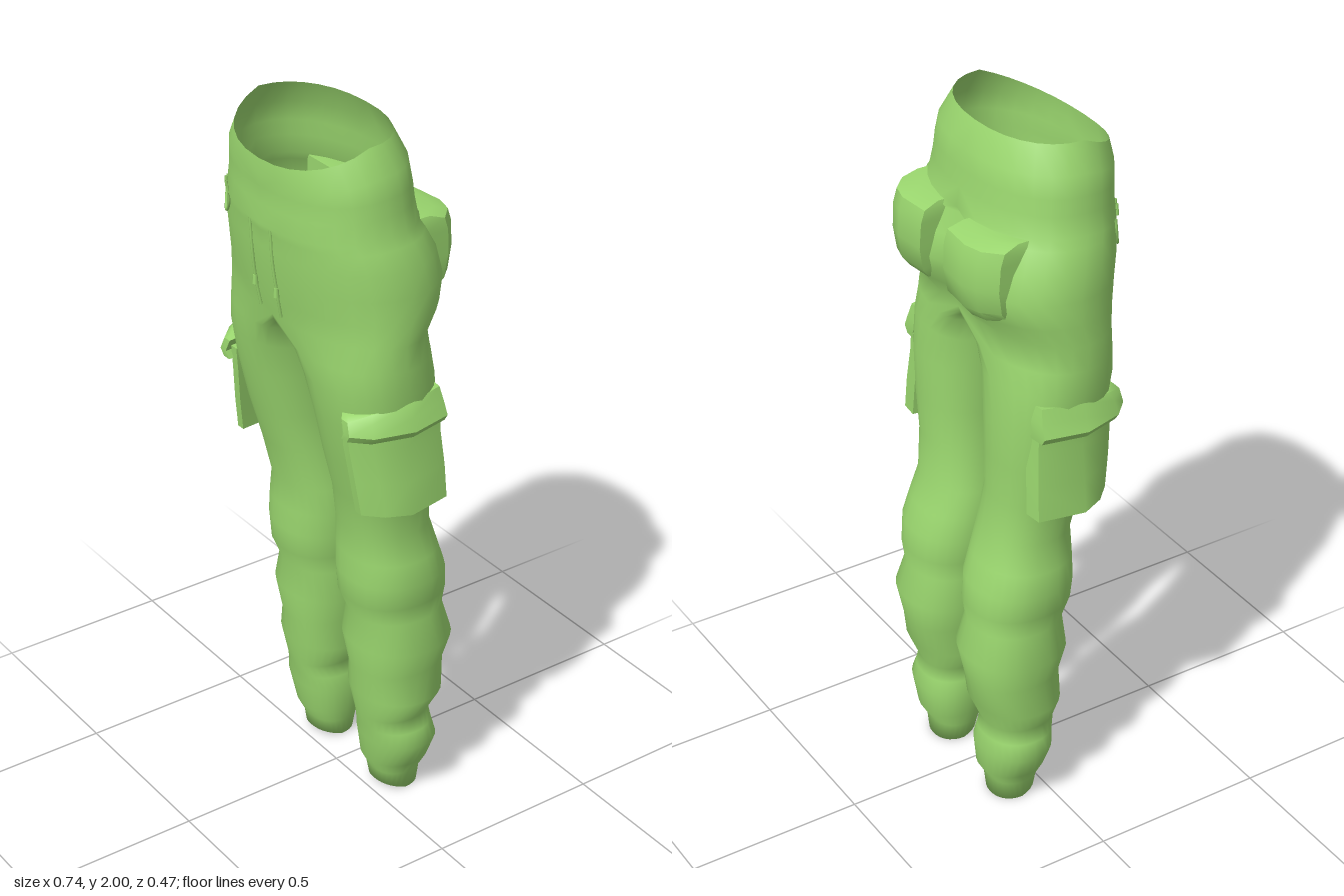
import * as THREE from 'three';
import { mergeVertices, toCreasedNormals } from 'three/addons/utils/BufferGeometryUtils.js';

const N = 28, H = N / 2;

// Cross-sections from ankle to waist: y, inner x, middle x, outer x, front z, back z, front tilt
const LEG = [
  [0.05, 0.1, 0.155, 0.21, -0.035, -0.14, 0],
  [0.0, 0.09, 0.155, 0.22, -0.02, -0.15, -0.02],
  [0.06, 0.075, 0.155, 0.23, -0.015, -0.155, 0],
  [0.1, 0.067, 0.155, 0.25, 0.005, -0.178, 0],
  [0.18, 0.055, 0.16, 0.288, 0.015, -0.185, 0],
  [0.225, 0.066, 0.16, 0.272, 0.022, -0.176, 0],
  [0.265, 0.073, 0.16, 0.262, 0.03, -0.17, 0],
  [0.34, 0.034, 0.16, 0.3, 0.04, -0.2, 0],
  [0.42, 0.05, 0.16, 0.277, 0.046, -0.215, 0],
  [0.51, 0.016, 0.16, 0.31, 0.058, -0.23, 0],
  [0.6, 0.034, 0.16, 0.283, 0.05, -0.205, 0],
  [0.66, 0.022, 0.16, 0.295, 0.075, -0.213, 0],
  [0.73, 0.015, 0.16, 0.305, 0.078, -0.205, 0],
  [0.8, 0.016, 0.16, 0.295, 0.076, -0.182, 0],
  [0.88, 0.02, 0.16, 0.275, 0.075, -0.158, 0],
  [1.0, 0.042, 0.165, 0.292, 0.1, -0.145, 0],
  [1.12, 0.036, 0.17, 0.315, 0.132, -0.148, 0],
  [1.25, 0.027, 0.17, 0.335, 0.16, -0.148, 0],
  [1.35, 0.012, 0.15, 0.345, 0.178, -0.142, 0],
  [1.42, 0.003, 0.1, 0.346, 0.188, -0.14, 0],
];
const HIPS = [
  [1.49, 0, 0, 0.345, 0.2, -0.143, 0],
  [1.55, 0, 0, 0.343, 0.212, -0.192, 0],
  [1.62, 0, 0, 0.34, 0.222, -0.208, 0],
  [1.69, 0, 0, 0.333, 0.23, -0.19, 0],
  [1.75, 0, 0, 0.315, 0.232, -0.16, 0.015],
  [1.775, 0, 0, 0.303, 0.238, -0.145, 0.02],
  [1.83, 0, 0, 0.291, 0.235, -0.136, 0.02],
  [1.875, 0, 0, 0.288, 0.234, -0.13, 0.02],
  [1.93, 0, 0, 0.277, 0.238, -0.122, 0.04],
  [2.0, 0, 0, 0.24, 0.235, -0.09, 0.07],
];
const E = 0.9;
const spow = v => Math.sign(v) * Math.pow(Math.abs(v), E);

function ringPoint([y, xi, cx, xo, zf, zb, tilt], j) {
  const t = (j / N) * Math.PI * 2;
  const s = j % H === 0 ? 0 : spow(Math.sin(t)), c = spow(Math.cos(t));
  const x = cx + s * (s > 0 ? xo - cx : cx - xi);
  let z = (zf + zb) / 2 + (c * (zf - zb)) / 2;
  let h = y - tilt * Math.max(0, c);
  if (y === 1.49 && s < 0) h += 0.055 * s;                                   // crotch arch
  if (c < 0 && y > 1.5 && y < 1.76) z += 0.035 * Math.exp(-((x / 0.05) ** 2)); // seat cleft
  return [x, h, z];
}

// Depth of the front of the hips at a given place
function frontZ(x, y) {
  let i = 0;
  while (i < HIPS.length - 2 && HIPS[i + 1][0] < y) i++;
  const a = HIPS[i], b = HIPS[i + 1];
  const k = THREE.MathUtils.clamp((y - a[0]) / (b[0] - a[0]), 0, 1);
  const [xo, zf, zb] = [3, 4, 5].map(n => THREE.MathUtils.lerp(a[n], b[n], k));
  const s = Math.pow(Math.min(1, Math.abs(x) / xo), 1 / E);
  return (zf + zb) / 2 + (Math.pow(Math.sqrt(1 - s * s), E) * (zf - zb)) / 2;
}

function geometryFrom(pos, idx) {
  const g = new THREE.BufferGeometry();
  g.setAttribute('position', new THREE.Float32BufferAttribute(pos, 3));
  g.setIndex(idx);
  return g;
}

// Both legs and the hips as one smooth skin
function trouserGeometry() {
  const rows = [...LEG, ...HIPS], pos = [], idx = [];
  for (const side of [1, -1]) {
    const base = pos.length / 3;
    for (const r of rows)
      for (let j = 0; j < N; j++) {
        const [x, y, z] = ringPoint(r, j);
        pos.push(x * side, y, z);
      }
    for (let i = 0; i < rows.length - 1; i++)
      for (let j = 0; j < (i < LEG.length ? N : H); j++) {
        const k = (j + 1) % N;
        const a = base + i * N + j, b = base + i * N + k, c = b + N, d = a + N;
        if (i >= LEG.length && j >= H) continue;
        if (side > 0) idx.push(a, b, c, a, c, d);
        else idx.push(a, c, b, a, d, c);
      }
  }
  const g = mergeVertices(geometryFrom(pos, idx), 1e-4);
  g.computeVertexNormals();
  return g;
}

// Solid through equal rings of [x, z] given from bottom to top, mirrored for side -1
function pocketGeometry(rings, side) {
  const n = rings[0].points.length, pos = [], idx = [];
  const tri = (a, b, c) => (side > 0 ? idx.push(a, b, c) : idx.push(a, c, b));
  rings.forEach(r => r.points.forEach(([x, z], j) => pos.push(x * side, Array.isArray(r.y) ? r.y[j] : r.y, z)));
  for (let i = 0; i < rings.length - 1; i++)
    for (let j = 0; j < n; j++) {
      const a = i * n + j, b = i * n + ((j + 1) % n);
      tri(a, b, b + n);
      tri(a, b + n, a + n);
    }
  const top = (rings.length - 1) * n;
  for (let j = 1; j < n - 1; j++) {
    tri(0, j + 1, j);
    tri(top, top + j, top + j + 1);
  }
  return toCreasedNormals(geometryFrom(pos, idx), 0.7);
}

// Cargo pocket outline wrapped round the outside of the thigh
const wrap = (y, out, zf, zb) => ({
  y,
  points: [[out - 0.1, zf], [out - 0.075, zf], [out - 0.03, zf - 0.045], [out, 0.015],
    [out - 0.025, zb + 0.005], [out - 0.075, zb]],
});
// Seat pocket outline
const seat = (y, d, w) => ({
  y,
  points: [[0.15 + w, -0.08], [0.15 + w, d + 0.055], [0.16 + w * 0.45, d + 0.014], [0.15, d],
    [0.15 - w, d + 0.008], [0.15 - w, -0.08]],
});

export function createModel() {
  const group = new THREE.Group();
  const cloth = new THREE.MeshStandardMaterial({ color: 0x9ad66e, side: THREE.DoubleSide });
  cloth.name = 'green cloth';
  const add = (name, geometry) => {
    const m = new THREE.Mesh(geometry, cloth);
    m.name = name;
    group.add(m);
    return m;
  };
  const cord = (name, pts, r) => add(name, new THREE.TubeGeometry(
    new THREE.CatmullRomCurve3(pts.map(([x, y]) => new THREE.Vector3(x, y, frontZ(x, y) + 0.002))), 20, r, 6));

  add('trousers', trouserGeometry());

  for (const side of [1, -1]) {
    const label = side > 0 ? 'left' : 'right';
    // Cargo pocket and its flap
    add(label + 'CargoPocket', pocketGeometry([
      wrap(1.005, 0.362, 0.125, -0.118), wrap(1.1, 0.354, 0.138, -0.115),
      wrap(1.2, 0.342, 0.15, -0.108), wrap(1.27, 0.342, 0.155, -0.105)], side));
    add(label + 'CargoFlap', pocketGeometry([
      wrap(1.235, 0.358, 0.168, -0.108), wrap(1.255, 0.371, 0.17, -0.108),
      wrap(1.29, 0.357, 0.166, -0.106),
      wrap([1.3, 1.3, 1.31, 1.325, 1.33, 1.33], 0.344, 0.155, -0.1)], side));
    // Seat pocket
    add(label + 'SeatPocket', pocketGeometry([
      seat(1.555, -0.195, 0.08), seat(1.585, -0.218, 0.09), seat(1.65, -0.228, 0.093),
      seat(1.72, -0.224, 0.095), seat(1.755, -0.213, 0.095), seat(1.77, -0.17, 0.09)], side));
    // Drawstring with its end bead
    const x = side * 0.045;
    cord(label + 'Drawstring', [[x, 1.75], [x, 1.66], [x * 1.05, 1.57], [x, 1.5]], 0.004);
    const bead = add(label + 'DrawstringBead', new THREE.CylinderGeometry(0.006, 0.008, 0.025, 8));
    bead.position.set(x * 1.05, 1.575, frontZ(x, 1.575) + 0.004);
  }

  // Hanging chain at the right hip, with small loops above
  cord('hipChain', [[-0.175, 1.76], [-0.185, 1.73], [-0.21, 1.7], [-0.24, 1.69], [-0.258, 1.73], [-0.262, 1.77]], 0.004);
  for (const x of [-0.185, -0.21, -0.235]) cord('chainLoop', [[x, 1.78], [x, 1.765]], 0.004);

  return group;
}
